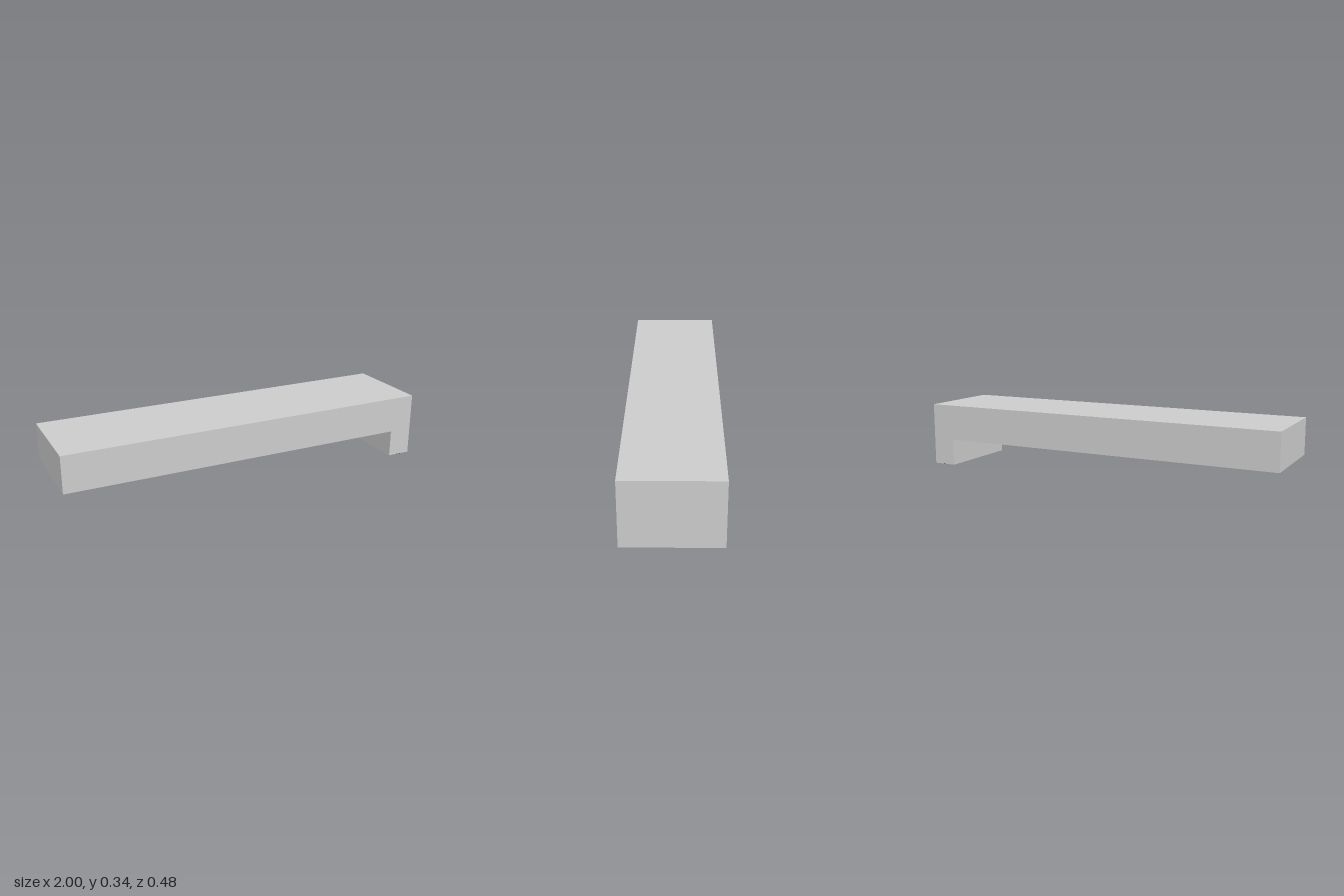
import * as THREE from 'three';

export function createModel() {
  const group = new THREE.Group();
  const depth = 0.477;

  // L-shaped profile: long slab with a downturned lip at the left end
  const profile = new THREE.Shape([
    [-1, 0.147], [0.872, 0.147], [0.872, 0.001], [1, 0.001], [1, 0.341], [-1, 0.341],
  ].map(([x, y]) => new THREE.Vector2(x, y)));
  const slabGeometry = new THREE.ExtrudeGeometry(profile, { depth, bevelEnabled: false });
  slabGeometry.translate(0, 0, -depth / 2);
  const slab = new THREE.Mesh(slabGeometry, new THREE.MeshStandardMaterial({ color: 0xcccccc }));
  slab.name = 'slabWithLip';
  group.add(slab);

  // Thin dark strip along the underside of the lip
  const strip = new THREE.Mesh(
    new THREE.BoxGeometry(0.03, 0.002, depth),
    new THREE.MeshStandardMaterial({ color: 0x222222 }),
  );
  strip.name = 'undersideStrip';
  strip.position.set(0.936, 0.001, 0);
  group.add(strip);

  return group;
}
